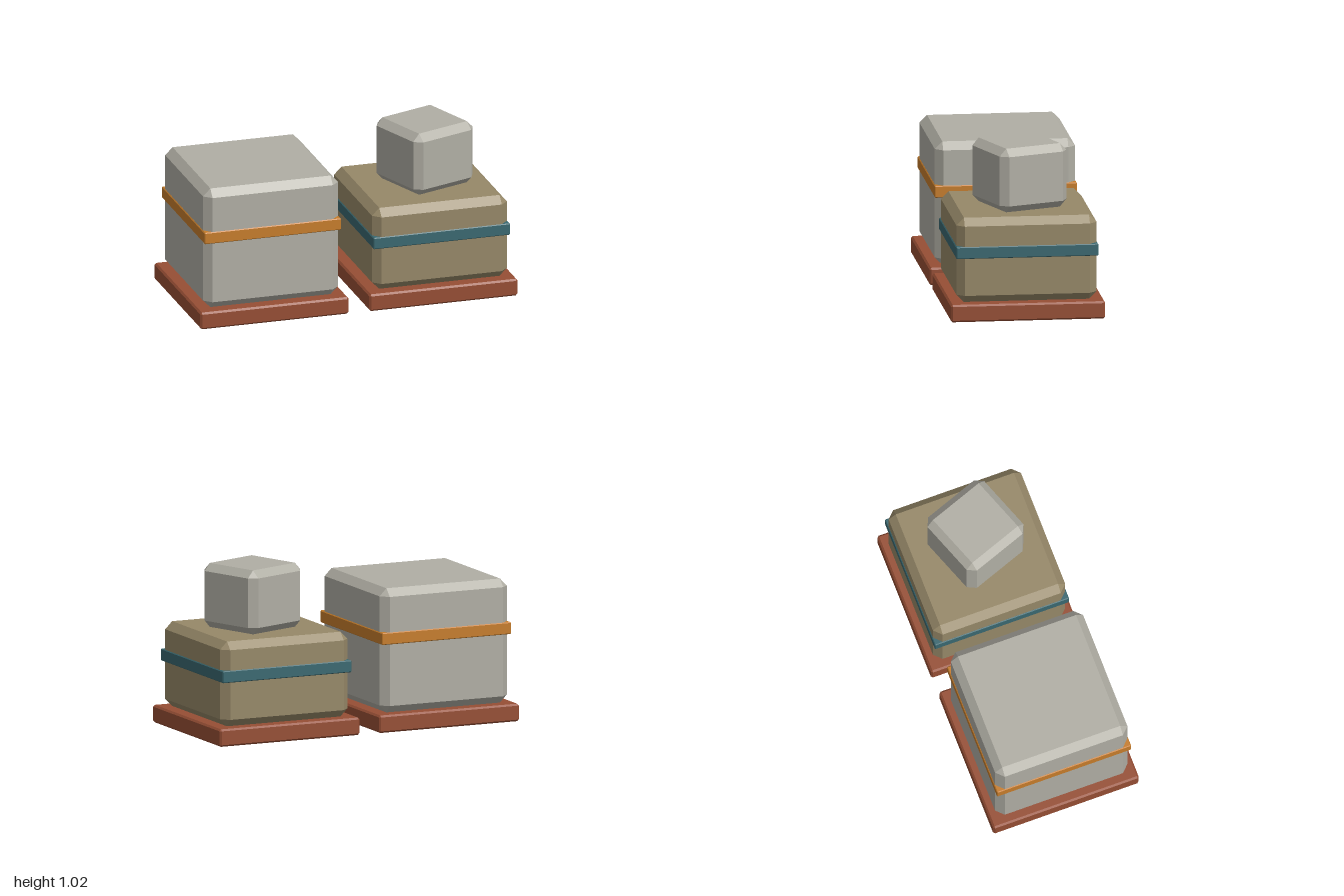
import * as THREE from 'three';
import { ConvexGeometry } from 'three/addons/geometries/ConvexGeometry.js';

const mat = (name, color) => {
  const m = new THREE.MeshStandardMaterial({ color });
  m.name = name;
  return m;
};

// Box with every edge and corner cut flat: three points per corner
function chamferBox(w, h, d, c) {
  const points = [];
  for (const sx of [-1, 1]) for (const sy of [-1, 1]) for (const sz of [-1, 1]) {
    for (let axis = 0; axis < 3; axis++) {
      const inset = [c, c, c];
      inset[axis] = 0;
      points.push(new THREE.Vector3(
        sx * (w / 2 - inset[0]), sy * (h / 2 - inset[1]), sz * (d / 2 - inset[2])));
    }
  }
  return new ConvexGeometry(points);
}

export function createModel() {
  const grey = mat('pale stone', 0xb0aea4);
  const tan = mat('tan cargo', 0x968868);
  const orange = mat('orange strap', 0xc67d2b);
  const teal = mat('teal strap', 0x3a6870);
  const rust = mat('rust base', 0x964e34);

  const model = new THREE.Group();
  model.name = 'crateStacks';

  // Square block standing between two heights
  function block(parent, name, width, y0, y1, chamfer, material) {
    const mesh = new THREE.Mesh(chamferBox(width, y1 - y0, width, chamfer), material);
    mesh.name = name;
    mesh.position.y = (y0 + y1) / 2;
    parent.add(mesh);
    return mesh;
  }

  // Pallet, crate and strap
  function stack(name, x, top, strapY, crateMat, strapMat) {
    const g = new THREE.Group();
    g.name = name;
    g.position.x = x;
    block(g, 'pallet', 0.935, 0, 0.107, 0.011, rust);
    block(g, 'crate', 0.85, 0.107, top, 0.046, crateMat);
    block(g, 'strap', 0.861, strapY, strapY + 0.073, 0.005, strapMat);
    model.add(g);
    return g;
  }

  stack('tallStack', -0.5325, 0.866, 0.53, grey, orange);
  const low = stack('lowStack', 0.5325, 0.625, 0.381, tan, teal);

  // Small crate turned on top of the low stack
  const small = block(low, 'smallCrate', 0.45, 0.625, 1.016, 0.044, grey);
  small.position.x = 0.026;
  small.rotation.y = 0.35;

  return model;
}
